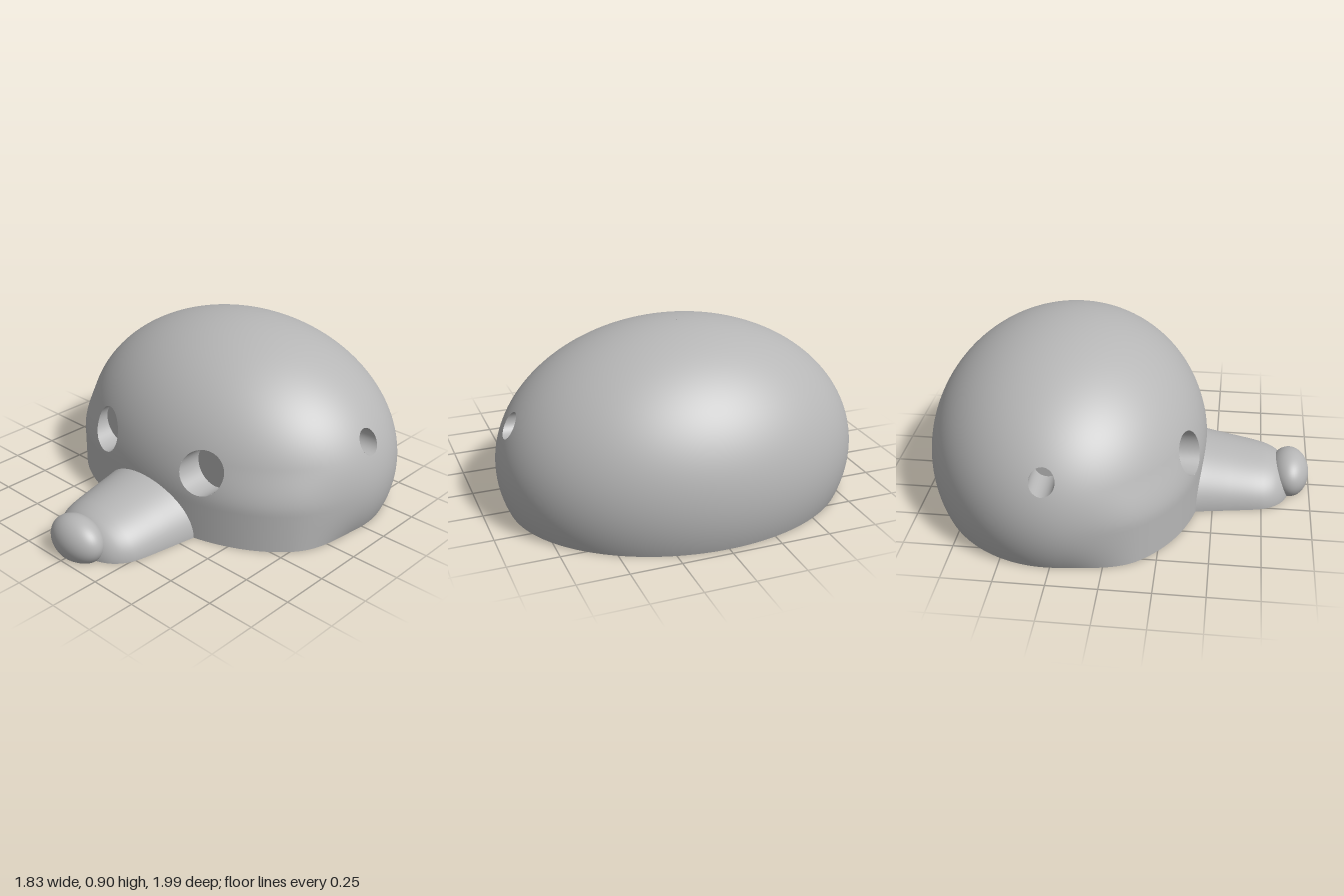
import * as THREE from 'three';
import { ParametricGeometry } from 'three/addons/geometries/ParametricGeometry.js';

const RX = 0.917, RY = 0.68, RZ = 0.725, CY = 0.222, CZ = -0.275;
const { smoothstep, lerp } = THREE.MathUtils;

// Horizontal reach of the body (1 = full width) at angle t and height y
function reach(t, y) {
  const h = (y - CY) / RY;
  let c = Math.sqrt(Math.max(0, 1 - h * h));
  const front = smoothstep(Math.sin(t), 0.1, 0.6);
  if (h < 0) c = lerp(c, 1, front); // upright wall under the face
  const bulge = 0.035 * Math.sin(2 * t) ** 2 * front * (1 - smoothstep(y, 0.2, 0.42));
  return c * (1 + bulge);
}

function bodyPoint(t, y, target) {
  const c = reach(t, y);
  return target.set(RX * c * Math.cos(t), y, CZ + RZ * c * Math.sin(t));
}

function insideBody(p) {
  const x = p.x / RX, z = (p.z - CZ) / RZ;
  return p.y < CY + RY && Math.hypot(x, z) < reach(Math.atan2(z, x), p.y);
}

// Keeps the part of a geometry where keep(point) > 0, cutting triangles at the edge
function clip(geometry, keep) {
  const g = geometry.toNonIndexed();
  const P = g.attributes.position, N = g.attributes.normal;
  const pos = [], nor = [];
  for (let i = 0; i < P.count; i += 3) {
    const corners = [0, 1, 2].map((k) => {
      const p = new THREE.Vector3().fromBufferAttribute(P, i + k);
      return { p, n: new THREE.Vector3().fromBufferAttribute(N, i + k), f: keep(p) };
    });
    const poly = [];
    corners.forEach((a, k) => {
      const b = corners[(k + 1) % 3];
      if (a.f >= 0) poly.push(a);
      if ((a.f >= 0) !== (b.f >= 0)) {
        const s = a.f / (a.f - b.f);
        poly.push({ p: a.p.clone().lerp(b.p, s), n: a.n.clone().lerp(b.n, s).normalize() });
      }
    });
    for (let k = 1; k + 1 < poly.length; k++) {
      for (const v of [poly[0], poly[k], poly[k + 1]]) {
        pos.push(...v.p.toArray());
        nor.push(...v.n.toArray());
      }
    }
  }
  const out = new THREE.BufferGeometry();
  out.setAttribute('position', new THREE.Float32BufferAttribute(pos, 3));
  out.setAttribute('normal', new THREE.Float32BufferAttribute(nor, 3));
  return out;
}

export function createModel() {
  const model = new THREE.Group();
  const grey = new THREE.MeshStandardMaterial({ color: 0xb6b6b6, side: THREE.DoubleSide });
  grey.name = 'plain grey';

  function add(name, geometry, parent = model) {
    const mesh = new THREE.Mesh(geometry, grey);
    mesh.name = name;
    parent.add(mesh);
    return mesh;
  }

  // Round sockets: bore axis, centre across the axis, radius, floor position along the axis
  const sockets = [];
  for (const side of [1, -1]) {
    const label = side > 0 ? 'left' : 'right';
    sockets.push({
      name: label + 'EyeSocket', r: 0.113, floor: 0.28, turn: 0,
      at: (a, b, d) => new THREE.Vector3(side * 0.34 + a, 0.36 + b, d),
      gap: (p) => (p.z < 0 ? 1 : Math.hypot(p.x - side * 0.34, p.y - 0.36) - 0.113),
    });
    sockets.push({
      name: label + 'EarSocket', r: 0.062, floor: 0.7, turn: side * Math.PI / 2,
      at: (a, b, d) => new THREE.Vector3(side * d, 0.47 + b, -0.275 + a),
      gap: (p) => (p.x * side < 0 ? 1 : Math.hypot(p.z + 0.275, p.y - 0.47) - 0.062),
    });
  }

  // Body shell with the sockets cut out
  const low = -Math.asin(CY / RY);
  const shell = new ParametricGeometry((u, v, target) => {
    const lat = lerp(low, Math.PI / 2 - 0.0005, v);
    bodyPoint(-2 * Math.PI * u, CY + RY * Math.sin(lat), target);
  }, 220, 90);
  add('body', clip(shell, (p) => Math.min(...sockets.map((s) => s.gap(p)))));

  // Socket walls reach from a flat floor up to the body surface
  for (const s of sockets) {
    const group = new THREE.Group();
    group.name = s.name;
    model.add(group);
    const wall = new ParametricGeometry((u, v, target) => {
      const t = 2 * Math.PI * u, a = s.r * Math.cos(t), b = s.r * Math.sin(t);
      let lo = s.floor, hi = 1.2;
      for (let i = 0; i < 24; i++) {
        const mid = (lo + hi) / 2;
        if (insideBody(s.at(a, b, mid))) lo = mid; else hi = mid;
      }
      target.copy(s.at(a, b, lerp(lo, s.floor, v)));
    }, 48, 2);
    // Keep the wall facing the bore, whichever way its axis points
    if (s.turn < 0) {
      wall.index.array.reverse();
      wall.attributes.normal.array.forEach((n, i, list) => { list[i] = -n; });
    }
    if (s.turn > 0) {
      wall.index.array.reverse();
      wall.attributes.normal.array.forEach((n, i, list) => { list[i] = -n; });
      wall.index.array.reverse();
      wall.attributes.normal.array.forEach((n, i, list) => { list[i] = -n; });
    }
    add('wall', wall, group);
    const floor = add('floor', new THREE.CircleGeometry(s.r, 48), group);
    floor.position.copy(s.at(0, 0, s.floor));
    floor.rotation.y = s.turn;
  }

  // Flat base with three round bores
  const p = new THREE.Vector3();
  const outline = [];
  for (let i = 0; i < 128; i++) {
    bodyPoint(i / 64 * Math.PI, 0, p);
    outline.push(new THREE.Vector2(p.x, p.z));
  }
  const base = new THREE.Shape(outline);
  for (const [x, z] of [[0.43, -0.44], [-0.43, -0.44], [0, 0.28]]) {
    base.holes.push(new THREE.Path().absarc(x, z, 0.033, 0, Math.PI * 2, true));
    const bore = [[0.033, 0], [0.033, 0.12], [0.033, 0.12], [0, 0.12]].map((q) => new THREE.Vector2(...q));
    add('baseBore', new THREE.LatheGeometry(bore, 24)).position.set(x, 0, z);
  }
  add('base', new THREE.ShapeGeometry(base, 24).rotateX(Math.PI / 2));

  // Snout: half-elliptical sections (half width, height, z) with a rounded end
  const profile = new THREE.CatmullRomCurve3([
    [0.335, 0.272, 0.36], [0.32, 0.255, 0.43], [0.295, 0.227, 0.58], [0.27, 0.2, 0.72], [0.255, 0.187, 0.77],
    [0.225, 0.165, 0.82], [0.18, 0.13, 0.86], [0.11, 0.075, 0.888], [0.002, 0.002, 0.897],
  ].map((q) => new THREE.Vector3(...q)));
  add('snout', new ParametricGeometry((u, v, target) => {
    const q = profile.getPoint(v), t = Math.PI * u;
    target.set(q.x * Math.cos(t), q.y * Math.sin(t), q.z);
  }, 48, 48));

  // Underside of the snout with the mouth slot
  const rim = profile.getPoints(40);
  const under = new THREE.Shape([
    ...rim.map((q) => new THREE.Vector2(q.x, q.z)),
    ...rim.reverse().map((q) => new THREE.Vector2(-q.x, q.z)),
  ]);
  const mw = 0.19, mz = 0.775, mh = 0.014;
  under.holes.push(new THREE.Path([[-mw, mz - mh], [-mw, mz + mh], [mw, mz + mh], [mw, mz - mh]]
    .map((q) => new THREE.Vector2(...q))));
  add('snoutBase', new THREE.ShapeGeometry(under).rotateX(Math.PI / 2));
  const slot = new THREE.BoxGeometry(mw * 2, 0.05, mh * 2);
  const faces = Array.from(slot.index.array);
  faces.splice(18, 6); // open at the bottom
  slot.setIndex(faces);
  slot.clearGroups();
  add('mouthSlot', slot).position.set(0, 0.025, mz);

  // Nose: ellipsoid cut flat at the base
  const nose = new THREE.SphereGeometry(1, 48, 32).scale(0.16, 0.122, 0.105).translate(0, 0.076, 0.89);
  add('nose', clip(nose, (q) => q.y));
  const cut = Math.sqrt(1 - (0.076 / 0.122) ** 2);
  add('noseBase', new THREE.CircleGeometry(cut, 48).rotateX(Math.PI / 2).scale(0.16, 1, 0.105))
    .position.set(0, 0, 0.89);
  return model;
}
